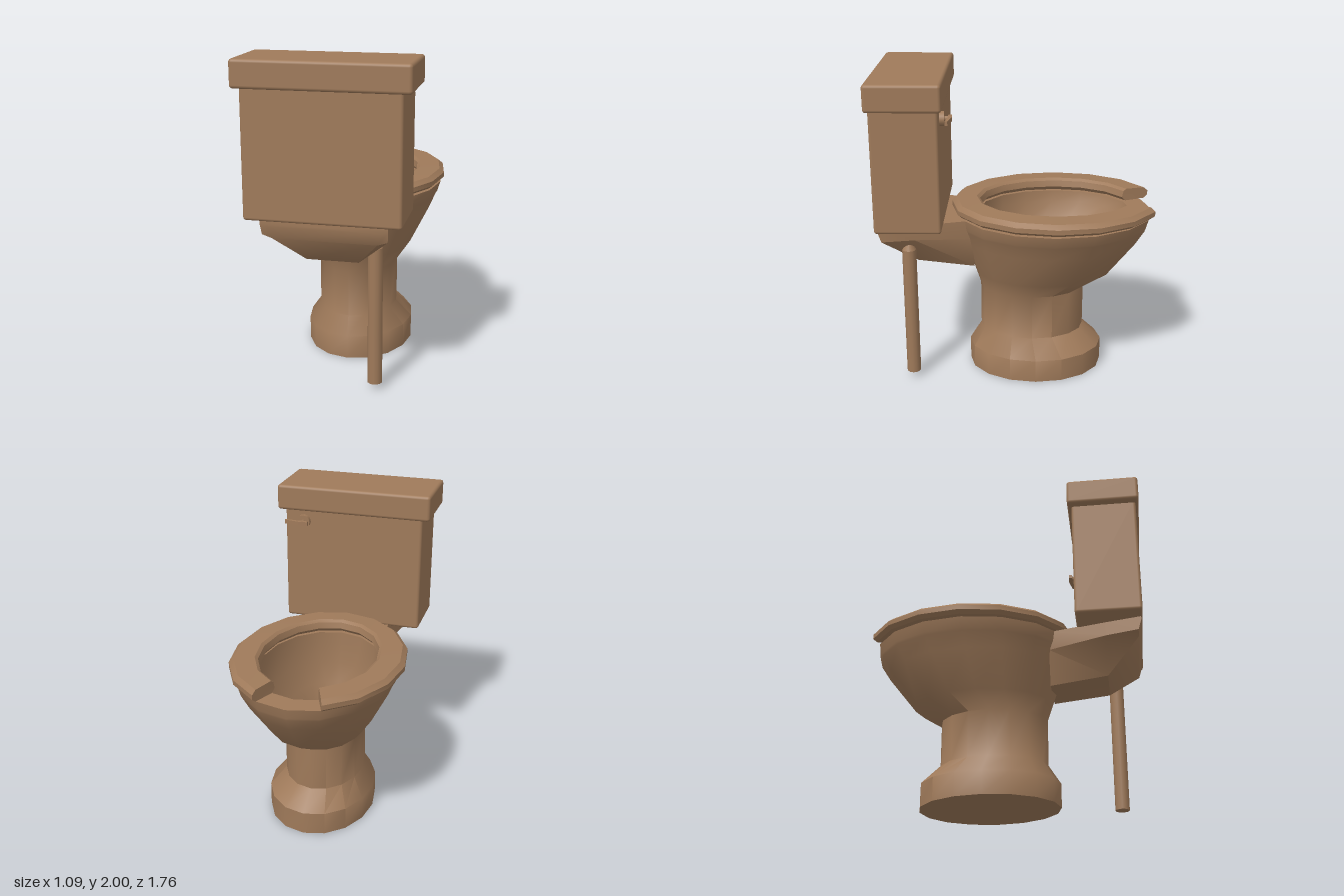
import * as THREE from 'three';
import { toCreasedNormals } from 'three/addons/utils/BufferGeometryUtils.js';
import { RoundedBoxGeometry } from 'three/addons/geometries/RoundedBoxGeometry.js';

const SIDES = 16;
const V = (x, y, z) => new THREE.Vector3(x, y, z);

// Skin a surface over closed rings of points; both ends are capped.
function loft(rings, crease = 0.6) {
  const n = rings[0].length;
  const centre = (r) => {
    const c = r.reduce((s, p) => s.add(p), V(0, 0, 0)).divideScalar(n);
    return r.map(() => c);
  };
  const all = [centre(rings[0]), ...rings, centre(rings[rings.length - 1])];
  const pos = [];
  const tri = (a, b, c) => {
    const area = b.clone().sub(a).cross(c.clone().sub(a)).length();
    if (area > 1e-8) for (const p of [a, b, c]) pos.push(p.x, p.y, p.z);
  };
  for (let i = 0; i < all.length - 1; i++) {
    for (let j = 0; j < n; j++) {
      const k = (j + 1) % n;
      tri(all[i][j], all[i + 1][j], all[i][k]);
      tri(all[i][k], all[i + 1][j], all[i + 1][k]);
    }
  }
  const g = new THREE.BufferGeometry();
  g.setAttribute('position', new THREE.Float32BufferAttribute(pos, 3));
  return toCreasedNormals(g, crease);
}

// Horizontal oval ring: height, half width, back z, front z.
function oval(y, w, zBack, zFront, cx = 0.01) {
  const cz = (zBack + zFront) / 2, d = (zBack - zFront) / 2;
  return Array.from({ length: SIDES }, (_, i) => {
    const a = (i / SIDES) * Math.PI * 2;
    return V(cx + w * Math.cos(a), y, cz + d * Math.sin(a));
  });
}

export function createModel() {
  const model = new THREE.Group();
  model.name = 'toilet';
  const ceramic = new THREE.MeshStandardMaterial({ color: 0x9f7a5a });
  ceramic.name = 'tan ceramic';

  const add = (name, geometry, x = 0, y = 0, z = 0) => {
    const m = new THREE.Mesh(geometry, ceramic);
    m.name = name;
    m.position.set(x, y, z);
    model.add(m);
    return m;
  };

  // Pedestal and bowl: up the outside, over the rim, down the inside
  add('bowl', loft([
    oval(0, 0.345, 0.31, -0.57, 0.015),
    oval(0.15, 0.345, 0.31, -0.57, 0.015),
    oval(0.265, 0.255, 0.235, -0.445, 0.005),
    oval(0.56, 0.255, 0.235, -0.445, 0.005),
    oval(0.67, 0.33, 0.27, -0.62),
    oval(0.9, 0.445, 0.35, -0.8),
    oval(0.995, 0.485, 0.38, -0.86),
    oval(1.01, 0.495, 0.385, -0.865),
    oval(1.075, 0.515, 0.39, -0.88),
    oval(1.075, 0.375, 0.24, -0.745, 0),
    oval(1.0, 0.365, 0.235, -0.72, 0),
    oval(0.86, 0.315, 0.225, -0.58),
    oval(0.72, 0.225, 0.2, -0.38),
    oval(0.62, 0.14, 0.16, -0.18),
    oval(0.55, 0.085, 0.13, -0.095, 0.015),
    oval(0.46, 0.08, 0.12, -0.085, 0.015),
  ], 0.75));

  // Shelf joining the bowl to the tank: z, half width, side y, bottom half width, bottom y
  add('tankShelf', loft([
    [0.27, 0.22, 0.95, 0.15, 0.735],
    [0.63, 0.32, 0.98, 0.16, 0.78],
    [0.83, 0.37, 0.985, 0.31, 0.965],
    [0.85, 0.375, 1.05, 0.33, 1.04],
  ].map(([z, w, ys, wb, yb]) => [
    V(w, 1.075, z), V(w, ys, z), V(wb, yb, z),
    V(-wb, yb, z), V(-w, ys, z), V(-w, 1.075, z),
  ])));

  // Open-front seat: one cross-section swept round an oval, leaving a gap at the front
  // Cross-section points: half width, half depth, height
  const section = [
    [0.515, 0.64, 1.16], [0.545, 0.67, 1.135], [0.545, 0.67, 1.105], [0.52, 0.645, 1.085],
    [0.375, 0.505, 1.085], [0.355, 0.48, 1.11], [0.365, 0.49, 1.15], [0.385, 0.51, 1.165],
  ];
  const seat = [];
  for (let i = 1; i < SIDES; i++) {
    const a = -Math.PI / 2 + (i / SIDES) * Math.PI * 2;
    seat.push(section.map(([w, d, y]) => V(w * Math.cos(a), y, -0.255 + d * Math.sin(a))));
  }
  add('seat', loft(seat));

  // Tank and lid
  add('tank', new RoundedBoxGeometry(0.93, 0.78, 0.41, 2, 0.018), -0.01, 1.46, 0.655);
  add('tankLid', new RoundedBoxGeometry(1.03, 0.167, 0.455, 2, 0.02), -0.01, 1.9165, 0.6525);

  // Flush handle on the tank face that looks over the bowl
  const boss = add('handleBoss', new THREE.CylinderGeometry(0.045, 0.045, 0.03, 12), 0.325, 1.762, 0.437);
  boss.rotation.x = Math.PI / 2;
  const stem = add('handleStem', new THREE.CylinderGeometry(0.016, 0.016, 0.05, 8), 0.325, 1.762, 0.41);
  stem.rotation.x = Math.PI / 2;
  const lever = new THREE.Shape([
    new THREE.Vector2(0.285, 0.38), new THREE.Vector2(0.345, 0.376), new THREE.Vector2(0.445, 0.396),
    new THREE.Vector2(0.445, 0.412), new THREE.Vector2(0.36, 0.402), new THREE.Vector2(0.285, 0.402),
  ]);
  const leverGeometry = new THREE.ExtrudeGeometry(lever, { depth: 0.026, bevelEnabled: false });
  leverGeometry.rotateX(Math.PI / 2);
  add('handleLever', leverGeometry, 0, 1.775, 0);

  // Water supply pipe with a tapered top under the shelf
  add('supplyPipe', new THREE.CylinderGeometry(0.045, 0.045, 0.86, 12), 0.27, 0.47, 0.673);
  add('supplyPipeTop', new THREE.CylinderGeometry(0.025, 0.045, 0.04, 12), 0.27, 0.92, 0.673);

  return model;
}
